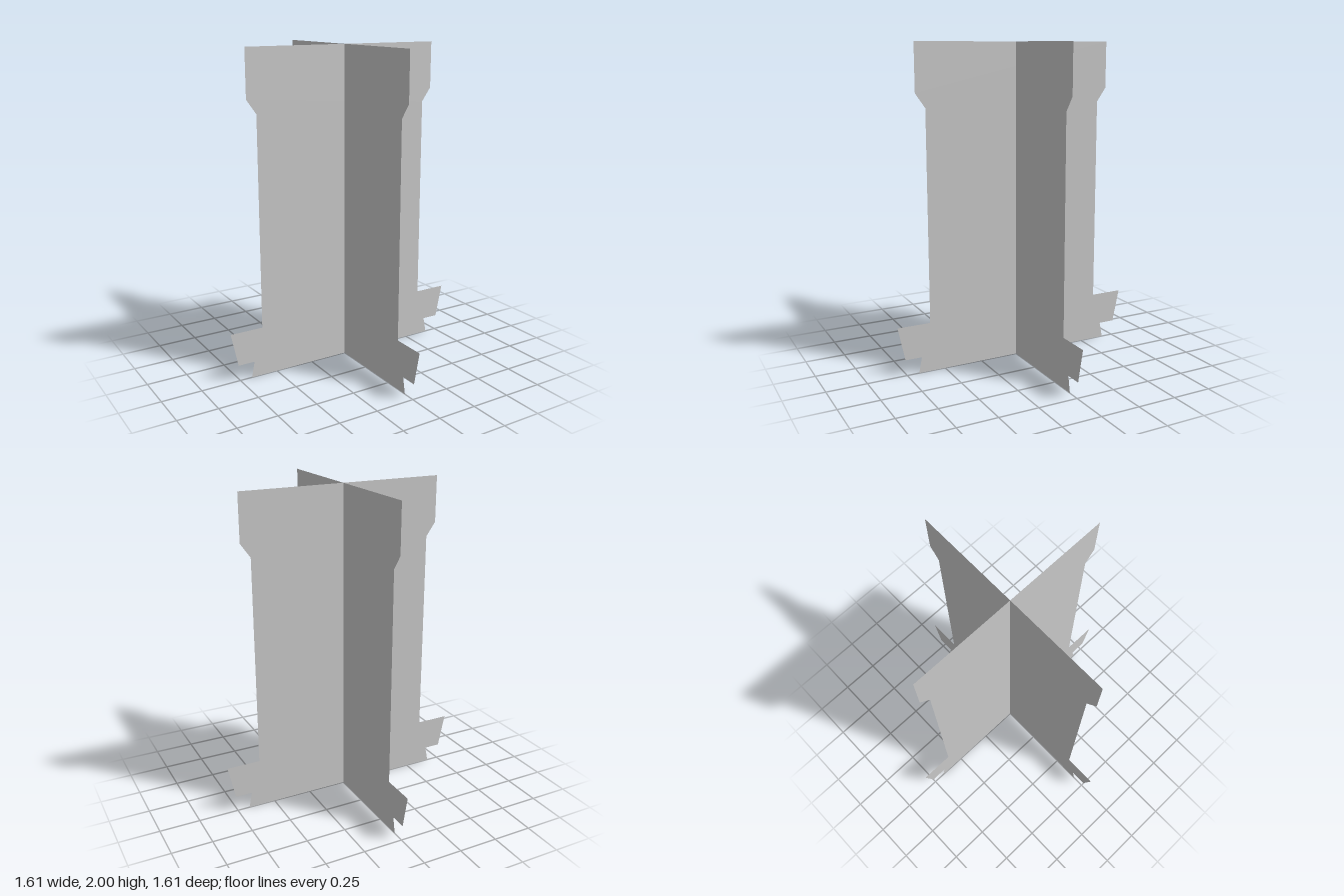
import * as THREE from 'three';

// Right half of the silhouette, from the foot up to the top edge
const PROFILE = [
  [0.672, 0], [0.652, 0.1], [0.758, 0.1], [0.803, 0.312],
  [0.593, 0.312], [0.593, 1.62], [0.655, 1.707], [0.655, 2],
];

// Full panel outline: the profile plus its mirror image
function panelShape() {
  const right = PROFILE.map(([x, y]) => new THREE.Vector2(x, y));
  const left = PROFILE.map(([x, y]) => new THREE.Vector2(-x, y)).reverse();
  return new THREE.Shape([...right, ...left]);
}

export function createModel() {
  const group = new THREE.Group();
  group.name = 'crossedPanels';

  const geometry = new THREE.ShapeGeometry(panelShape());
  const material = new THREE.MeshStandardMaterial({
    color: 0xcccccc,
    side: THREE.DoubleSide,
  });

  // Two identical thin panels crossing at the vertical axis
  ['frontPanel', 'sidePanel'].forEach((name, i) => {
    const panel = new THREE.Mesh(geometry, material);
    panel.name = name;
    panel.rotation.y = (i * Math.PI) / 2;
    group.add(panel);
  });

  return group;
}
